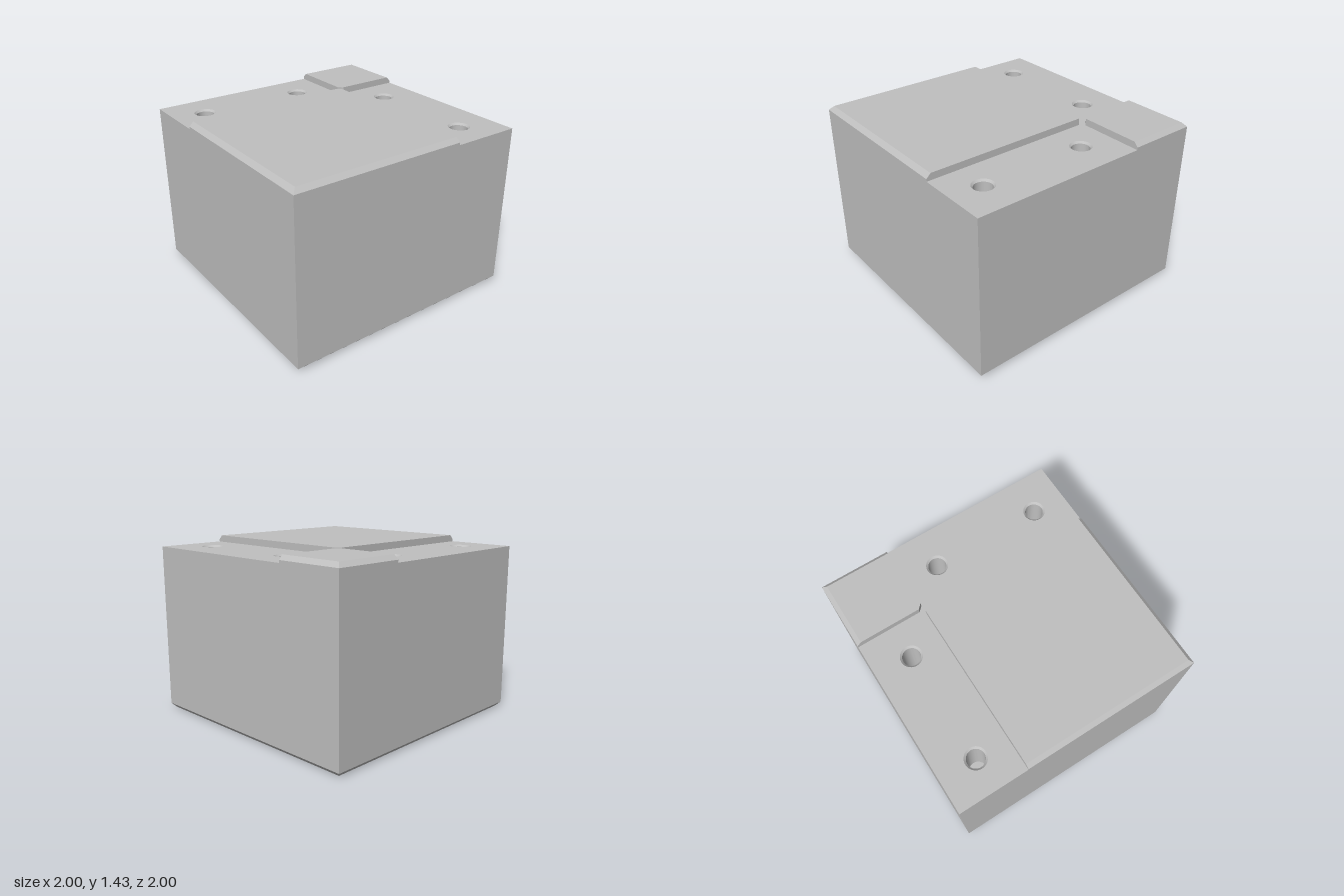
import * as THREE from 'three';
import { mergeGeometries, toCreasedNormals } from 'three/addons/utils/BufferGeometryUtils.js';

const DECK = 1.375, PAD = 1.43, ROOF = 1.25, CHAMFER = 0.035;
const HUB = { x: -0.285, z: 0.285, r: 0.195 };
const BOLTS = [[0.7, -0.165], [0.7, 0.73], [0.16, -0.705], [-0.735, -0.705]];

// Loops are lists of [x, z] points.
const square = s => [[-s, -s], [s, -s], [s, s], [-s, s]];
const circle = (x, z, r, n = 48) => Array.from({ length: n }, (_, i) => {
  const a = i / n * Math.PI * 2;
  return [x + r * Math.cos(a), z + r * Math.sin(a)];
});
const vectors = (loop, sign = 1) => loop.map(([x, z]) => new THREE.Vector2(x, sign * z));

// Side surface through matching loops stacked upwards: sections are [loop, y].
function skin(sections, inward = false) {
  const turn = THREE.ShapeUtils.isClockWise(vectors(sections[0][0])) !== inward;
  const rings = sections.map(([loop, y]) => {
    const ring = loop.map(([x, z]) => [x, y, z]);
    return turn ? ring.reverse() : ring;
  });
  const pos = [];
  for (let k = 0; k < rings.length - 1; k++) {
    const lo = rings[k], hi = rings[k + 1];
    lo.forEach((a, i) => {
      const j = (i + 1) % lo.length;
      pos.push(...a, ...hi[i], ...lo[j], ...lo[j], ...hi[i], ...hi[j]);
    });
  }
  const g = new THREE.BufferGeometry();
  g.setAttribute('position', new THREE.Float32BufferAttribute(pos, 3));
  return toCreasedNormals(g, 0.4);
}

// Flat horizontal face, looking up or down, with optional openings.
function cap(loop, y, up, holes = []) {
  const sign = up ? -1 : 1;
  const shape = new THREE.Shape(vectors(loop, sign));
  shape.holes = holes.map(h => new THREE.Path(vectors(h, sign)));
  const g = new THREE.ShapeGeometry(shape).toNonIndexed();
  g.deleteAttribute('uv');
  return g.rotateX(sign * Math.PI / 2).translate(0, y, 0);
}

// Quarter pocket bounded by the walls, two ribs and the round hub.
function pocket(sx, sz, wall = 0.915, rib = 0.03) {
  const { x, z, r } = HUB, a0 = Math.asin(rib / r), n = 12;
  const loop = [[sx * wall, sz * wall], [sx * wall, z + sz * rib]];
  for (let i = 0; i <= n; i++) {
    const a = a0 + (Math.PI / 2 - 2 * a0) * i / n;
    loop.push([x + sx * r * Math.cos(a), z + sz * r * Math.sin(a)]);
  }
  loop.push([x + sx * rib, sz * wall]);
  return loop;
}

// Raised pad: notched inner corner, bevelled along the two outer edges.
function pad(x, z, sx, sz) {
  const c = 0.037;
  const outline = e => [[x + sx * c, z], [sx * e, z], [sx * e, sz * e], [x, sz * e], [x, z + sz * c]];
  const top = outline(1 - CHAMFER);
  return [
    skin([[outline(1), DECK], [outline(1), PAD - CHAMFER], [top, PAD]]),
    cap(top, PAD, true),
  ];
}

export function createModel() {
  const group = new THREE.Group();
  const grey = new THREE.MeshStandardMaterial({ color: 0xbfbfbf });
  grey.name = 'light grey';
  const add = (name, parts) => {
    const mesh = new THREE.Mesh(mergeGeometries(parts), grey);
    mesh.name = name;
    group.add(mesh);
  };

  // Outer walls with a bevelled foot
  const foot = square(1 - CHAMFER), full = square(1);
  add('outerWalls', [skin([[foot, 0], [full, 0.037], [full, DECK]])]);

  // Top deck and the two raised pads
  add('topDeck', [cap(full, DECK, true, BOLTS.map(([x, z]) => circle(x, z, 0.085)))]);
  add('largePad', pad(0.432, -0.44, -1, 1));
  add('smallPad', pad(0.432, -0.44, 1, -1));

  // Underside: rim, cross ribs and hub face, then the four pockets
  const pockets = [[1, 1], [1, -1], [-1, 1], [-1, -1]].map(([sx, sz]) => pocket(sx, sz));
  const hubMouth = circle(HUB.x, HUB.z, 0.135), hubBore = circle(HUB.x, HUB.z, 0.11);
  add('bottomRimAndRibs', [cap(foot, 0, false, [...pockets, hubMouth])]);
  pockets.forEach(p => add('pocket', [skin([[p, 0], [p, ROOF]], true), cap(p, ROOF, false)]));

  // Blind bore in the central hub
  add('hubBore', [
    skin([[hubMouth, 0], [hubBore, 0.03], [hubBore, 0.9]], true),
    cap(hubBore, 0.9, false),
  ]);

  // Posts below the deck, each with a countersunk blind hole above
  for (const [x, z] of BOLTS) {
    const post = circle(x, z, 0.155), bore = circle(x, z, 0.07);
    add('post', [skin([[post, 0], [post, ROOF]]), cap(post, 0, false)]);
    add('boltHole', [
      skin([[bore, 0.9], [bore, DECK - 0.015], [circle(x, z, 0.085), DECK]], true),
      cap(bore, 0.9, true),
    ]);
  }
  return group;
}
